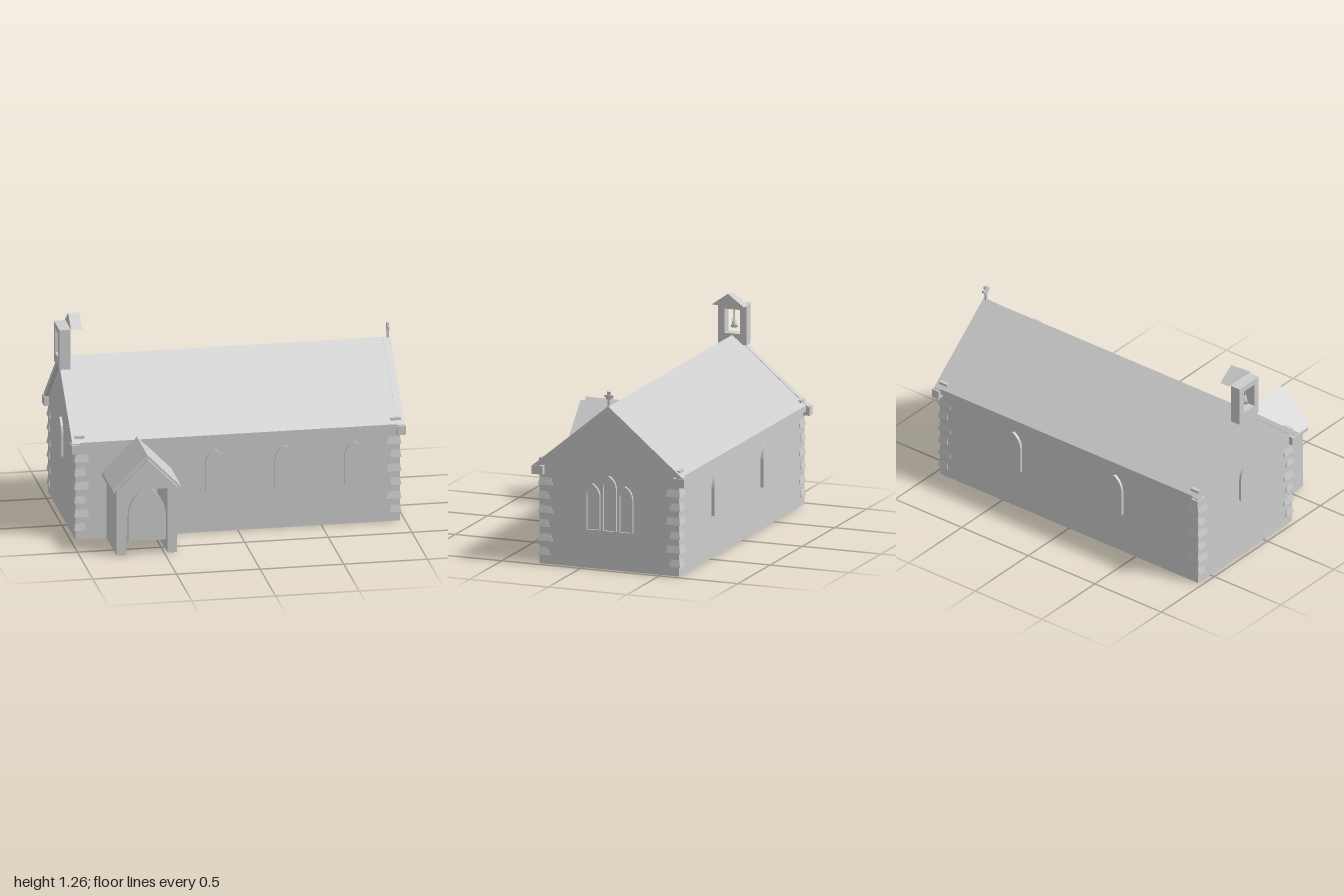
import * as THREE from 'three';

const stone = new THREE.MeshStandardMaterial({ color: 0xcccccc });
stone.name = 'stone grey';

const RIDGE_Z = -0.172;

function add(parent, name, geometry, x = 0, y = 0, z = 0) {
  const mesh = new THREE.Mesh(geometry, stone);
  mesh.name = name;
  mesh.position.set(x, y, z);
  parent.add(mesh);
  return mesh;
}

// Box given by its minimum and maximum corners
function block(parent, name, x0, x1, y0, y1, z0, z1) {
  return add(parent, name, new THREE.BoxGeometry(x1 - x0, y1 - y0, z1 - z0),
    (x0 + x1) / 2, (y0 + y1) / 2, (z0 + z1) / 2);
}

function extrude(shape, depth) {
  return new THREE.ExtrudeGeometry(shape, { depth, bevelEnabled: false, curveSegments: 6 });
}

function polygon(points) {
  return new THREE.Shape(points.map(p => new THREE.Vector2(...p)));
}

// Profile drawn in (-z, y) and extruded along x from x0 to x1
function alongX(parent, name, shape, x0, x1, z = RIDGE_Z) {
  const mesh = add(parent, name, extrude(shape, x1 - x0), x0, 0, z);
  mesh.rotation.y = Math.PI / 2;
  return mesh;
}

// Two sloping slabs meeting at a ridge
function chevron(half, eave, ridge, thick) {
  return polygon([[-half, eave - thick], [0, ridge - thick], [half, eave - thick],
    [half, eave], [0, ridge], [-half, eave]]);
}

// Pointed arch outline standing on y = 0
function arch(path, w, h, base = 0) {
  const a = w / 2, spring = h - w * 0.8;
  path.moveTo(-a, base);
  path.lineTo(a, base);
  path.lineTo(a, spring);
  path.quadraticCurveTo(a * 0.95, h - w * 0.28, 0, h);
  path.quadraticCurveTo(-a * 0.95, h - w * 0.28, -a, spring);
  path.lineTo(-a, base);
  return path;
}

function archedWindow(parent, name, w, h, depth, framed) {
  const group = new THREE.Group();
  group.name = name;
  const outer = arch(new THREE.Shape(), w, h);
  if (framed) {
    outer.holes.push(arch(new THREE.Path(), w - 0.028, h - 0.018, 0.002));
    add(group, 'windowPane', extrude(arch(new THREE.Shape(), w - 0.02, h - 0.012), depth * 0.35));
  }
  add(group, framed ? 'windowFrame' : 'windowPanel', extrude(outer, depth));
  parent.add(group);
  return group;
}

function createModel() {
  const chapel = new THREE.Group();
  chapel.name = 'chapel';

  // Nave with gable ends, and the roof over it
  alongX(chapel, 'naveWalls', polygon([[-0.443, 0], [0.443, 0], [0.443, 0.59],
    [0, 0.958], [-0.443, 0.59]]), -0.97, 0.97);
  alongX(chapel, 'mainRoof', chevron(0.464, 0.605, 0.992, 0.035), -0.988, 0.988);

  for (const sx of [-1, 1]) {
    // Gable coping
    alongX(chapel, 'gableCoping', chevron(0.472, 0.602, 0.995, 0.036),
      sx > 0 ? 0.948 : -0.993, sx > 0 ? 0.993 : -0.948);
    for (const sz of [-1, 1]) {
      // Kneeler stone with a small piece showing through the roof
      const corner = new THREE.Group();
      corner.name = 'cornerStones';
      corner.position.z = RIDGE_Z;
      chapel.add(corner);
      add(corner, 'kneeler', new THREE.BoxGeometry(0.05, 0.053, 0.07), sx * 0.973, 0.57, sz * 0.449);
      add(corner, 'kneelerTop', new THREE.BoxGeometry(0.06, 0.016, 0.02), sx * 0.945, 0.632, sz * 0.437);
      // Quoins flaring out towards their lower edge
      for (let i = 0; i < 6; i++) {
        const size = i % 2 ? 0.09 : 0.07;
        const quoin = add(corner, 'quoin', new THREE.CylinderGeometry(
          (size - 0.018) * Math.SQRT1_2, size * Math.SQRT1_2, 0.05, 4).rotateY(Math.PI / 4)
          .toNonIndexed(), sx * (0.978 - size / 2), 0.08 + i * 0.085, sz * (0.451 - size / 2));
        quoin.geometry.computeVertexNormals();
      }
    }
  }

  // Side windows: three at the front, two at the back
  for (const x of [-0.138, 0.278, 0.695])
    archedWindow(chapel, 'frontWindow', 0.115, 0.258, 0.025, false).position.set(x, 0.255, 0.262);
  for (const x of [0.41, -0.35]) {
    const w = archedWindow(chapel, 'backWindow', 0.115, 0.258, 0.025, false);
    w.position.set(x, 0.255, -0.607);
    w.rotation.y = Math.PI;
  }

  // Three lancets in the left gable, one window in the right gable
  for (const i of [-1, 0, 1]) {
    const w = archedWindow(chapel, 'gableLancet', 0.096, i ? 0.28 : 0.335, 0.02, true);
    w.position.set(0.967, 0.235, RIDGE_Z + i * 0.104);
    w.rotation.y = Math.PI / 2;
  }
  const west = archedWindow(chapel, 'rightGableWindow', 0.11, 0.23, 0.02, false);
  west.position.set(-0.964, 0.385, RIDGE_Z);
  west.rotation.y = -Math.PI / 2;

  // Cross on the left gable
  const cross = new THREE.Group();
  cross.name = 'gableCross';
  cross.position.set(0.978, 0, RIDGE_Z);
  chapel.add(cross);
  add(cross, 'crossPost', new THREE.BoxGeometry(0.012, 0.1, 0.013), 0, 1.03, 0);
  add(cross, 'crossArms', new THREE.BoxGeometry(0.012, 0.017, 0.054), 0, 1.052, 0);
  add(cross, 'crossHead', new THREE.BoxGeometry(0.014, 0.016, 0.022), 0, 1.073, 0);
  add(cross, 'crossCollar', new THREE.BoxGeometry(0.014, 0.012, 0.03), 0, 1.04, 0);

  // Bell cote on the right gable
  const cote = polygon([[-0.09, 0.937], [0.09, 0.937], [0.09, 1.182], [-0.09, 1.182]]);
  cote.holes.push(new THREE.Path([[-0.049, 1.0], [-0.049, 1.147], [0.049, 1.147], [0.049, 1.0]]
    .map(p => new THREE.Vector2(...p))));
  alongX(chapel, 'bellCote', cote, -1, -0.935);
  alongX(chapel, 'bellCoteCap', polygon([[-0.103, 1.182], [0.103, 1.182], [0, 1.256]]), -0.932, -0.866);
  const bell = [[0, 0.05], [0.01, 0.047], [0.014, 0.02], [0.022, 0], [0, 0]]
    .map(p => new THREE.Vector2(...p)).reverse();
  add(chapel, 'bell', new THREE.LatheGeometry(bell, 12), -0.967, 1.035, RIDGE_Z);
  block(chapel, 'bellHanger', -0.971, -0.963, 1.08, 1.15, RIDGE_Z - 0.004, RIDGE_Z + 0.004);

  // Porch: side walls, roof, gable board and door
  const porch = new THREE.Group();
  porch.name = 'porch';
  porch.position.x = -0.605;
  chapel.add(porch);
  for (const s of [-1, 1])
    add(porch, 'porchWall', new THREE.BoxGeometry(0.055, 0.42, 0.34), s * 0.1525, 0.21, 0.435);
  add(porch, 'porchRoof', extrude(chevron(0.206, 0.41, 0.62, 0.022), 0.36), 0, 0, 0.262);
  add(porch, 'porchGable', extrude(polygon([[-0.18, 0.418], [0.18, 0.418], [0, 0.597]]), 0.036), 0, 0, 0.62);
  archedWindow(porch, 'porchDoor', 0.225, 0.335, 0.02, false).position.set(0, 0.088, 0.598);

  return chapel;
}

export { createModel };
